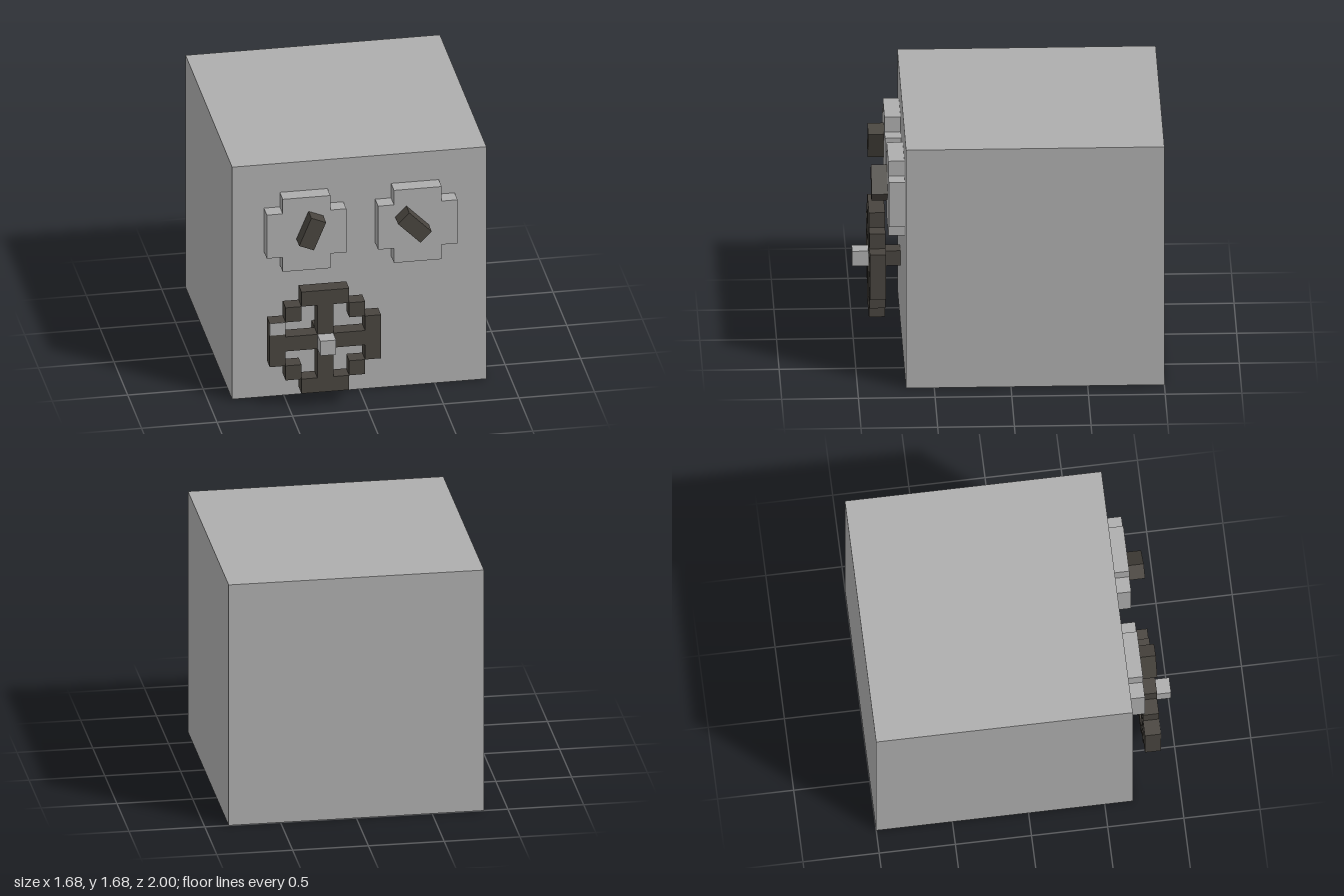
import * as THREE from 'three';

const U = 2 / 19; // one block unit
const FRONT = 0.684; // front face of the body

export function createModel() {
  const root = new THREE.Group();
  const grey = new THREE.MeshStandardMaterial({ color: 0xadadad });
  grey.name = 'grey';
  const dark = new THREE.MeshStandardMaterial({ color: 0x48443e });
  dark.name = 'dark brown';

  // Box placed by its centre, sized in block units
  function block(parent, name, mat, w, h, d, x, y, z) {
    const mesh = new THREE.Mesh(new THREE.BoxGeometry(w * U, h * U, d * U), mat);
    mesh.name = name;
    mesh.position.set(x, y, z);
    parent.add(mesh);
    return mesh;
  }

  // Body
  block(root, 'body', grey, 16, 16, 16, 0, 8 * U, FRONT - 8 * U);

  // Dials: stepped round plates
  const outline = [
    [-1.5, -2.5], [1.5, -2.5], [1.5, -1.5], [2.5, -1.5], [2.5, 1.5], [1.5, 1.5],
    [1.5, 2.5], [-1.5, 2.5], [-1.5, 1.5], [-2.5, 1.5], [-2.5, -1.5], [-1.5, -1.5],
  ].map(([x, y]) => new THREE.Vector2(x * U, y * U));
  const dialGeometry = new THREE.ExtrudeGeometry(new THREE.Shape(outline), { depth: U, bevelEnabled: false });
  for (const [side, s] of [['left', 1], ['right', -1]]) {
    const dial = new THREE.Mesh(dialGeometry, grey);
    dial.name = side + 'Dial';
    dial.position.set(s * 3.5 * U, 11.5 * U, FRONT);
    root.add(dial);
  }

  // Dial needles
  const zMid = FRONT + 1.5 * U;
  block(root, 'rightNeedle', dark, 1, 2, 1, -0.347, 1.255, zMid).rotation.z = -Math.PI / 8;
  block(root, 'leftNeedle', dark, 1, 2, 1, 0.33, 1.242, zMid).rotation.z = Math.PI / 4;

  // Valve wheel: rim bars, corner blocks and spokes around a hub
  const wheel = new THREE.Group();
  wheel.name = 'valveWheel';
  wheel.position.set(-2.5 * U, 4.5 * U, zMid);
  root.add(wheel);
  for (const s of [-1, 1]) {
    block(wheel, 'rimBar', dark, 3, 1, 1, 0, s * 3 * U, 0);
    block(wheel, 'rimBar', dark, 1, 3, 1, s * 3 * U, 0, 0);
    block(wheel, 'spoke', dark, 1, 2, 1, 0, s * 1.5 * U, 0);
    block(wheel, 'spoke', dark, 2, 1, 1, s * 1.5 * U, 0, 0);
    for (const t of [-1, 1]) block(wheel, 'rimCorner', dark, 1, 1, 1, s * 2 * U, t * 2 * U, 0);
  }
  block(wheel, 'axle', dark, 1, 1, 2, 0, 0, -0.5 * U);
  block(wheel, 'hubCap', grey, 1, 1, 1, 0, 0, U);

  // Pale mark on the front of one rim bar
  const mark = new THREE.Mesh(new THREE.BoxGeometry(U, 0.087, 0.002), grey);
  mark.name = 'rimMark';
  mark.position.set(-3 * U, 1.5 * U - 0.0435, 0.5 * U + 0.001);
  wheel.add(mark);

  return root;
}
